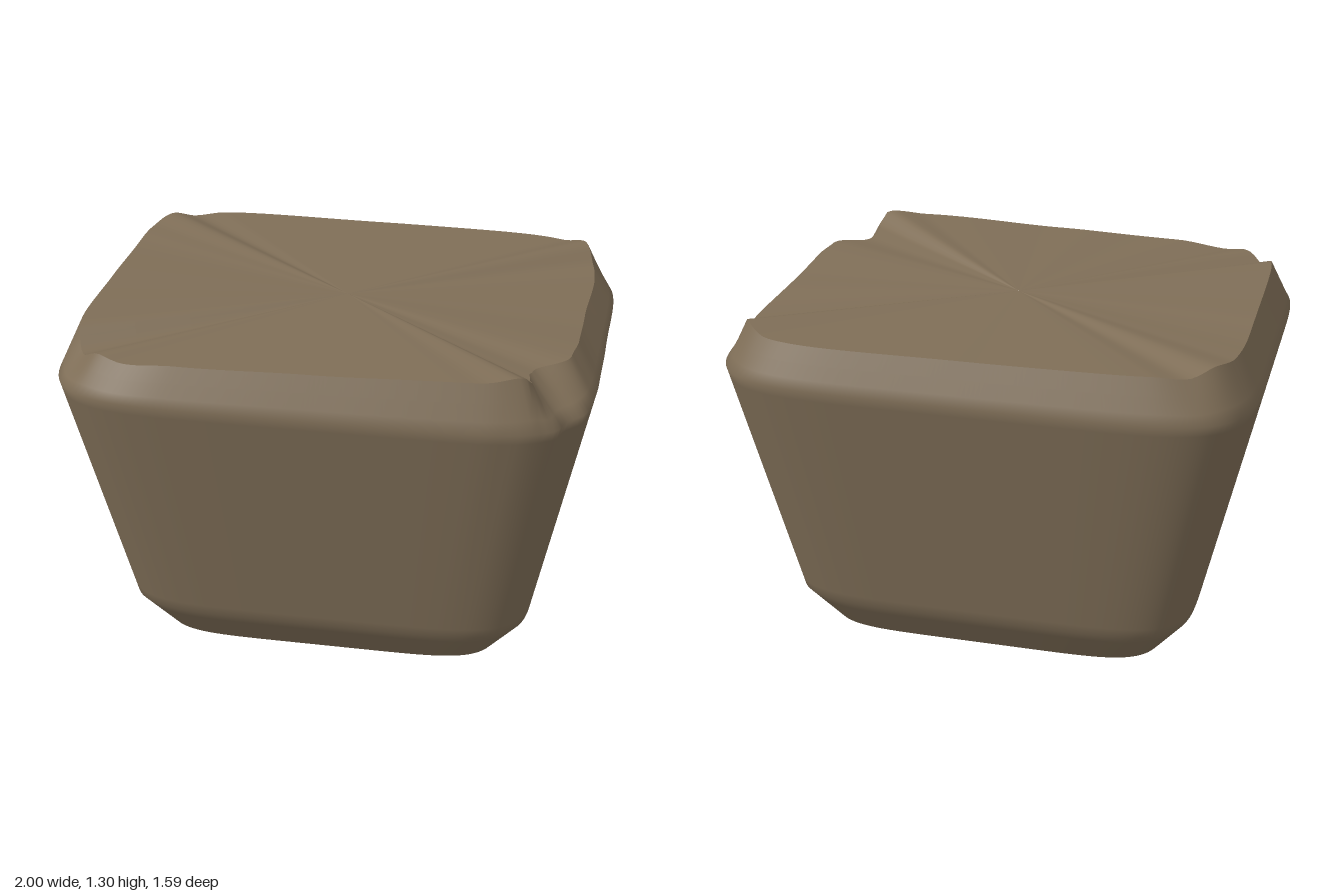
import * as THREE from 'three';

const SEG = 288;

// Rim height by angle (degrees from +x towards +z): ridges and dips at the four corners
const rimHeight = [[0, 1.235], [24, 1.25], [32, 1.24], [39, 1.25], [43.5, 1.3], [51, 1.285], [90, 1.27],
  [124, 1.26], [134, 1.245], [139, 1.26], [145, 1.22], [152, 1.29], [180, 1.28], [198, 1.272], [209, 1.28],
  [216, 1.295], [222, 1.265], [228, 1.275], [270, 1.27], [318, 1.265], [325, 1.295], [331, 1.235],
  [336, 1.225], [360, 1.235]];

// Radius factors that cut the chipped corner into the rim and the shoulder
const rimChip = [[0, 0.98], [15, 0.975], [23.5, 0.96], [33, 0.86], [36, 0.872], [38, 0.9], [40, 0.957],
  [43, 0.988], [49, 1], [334, 1], [360, 0.98]];
const shoulderChip = [[0, 0.988], [18, 0.982], [25, 0.978], [30, 0.975], [35.5, 0.953], [40, 0.985],
  [47, 0.995], [52, 1], [330, 1], [360, 0.988]];

// Smooth interpolation through [angle, value] pairs
function sample(table, deg) {
  const i = Math.max(1, table.findIndex(([a]) => a >= deg));
  const [a0, v0] = table[i - 1], [a1, v1] = table[i];
  return v0 + (v1 - v0) * THREE.MathUtils.smoothstep(deg, a0, a1);
}

// Point on a rounded rectangle with half sizes a and b
function outline(a, b, deg, y, factor = 1) {
  const t = THREE.MathUtils.degToRad(deg), c = Math.cos(t), s = Math.sin(t);
  const r = factor * Math.pow(Math.pow(Math.abs(c / a), 6) + Math.pow(Math.abs(s / b), 6), -1 / 6);
  return new THREE.Vector3(r * c, y, r * s);
}

// The four main sections, bottom to top
const sections = [
  (d) => outline(0.665, 0.525, d, 0),
  (d) => outline(0.78, 0.62, d, 0.155),
  (d) => outline(1, 0.793, d, 1.115, sample(shoulderChip, d)),
  (d) => outline(0.92, 0.735, d, sample(rimHeight, d), sample(rimChip, d)),
];

// Skin a surface through rings, each a function of the angle
function skin(rings) {
  const pos = [], idx = [];
  rings.forEach((ring, j) => {
    for (let i = 0; i < SEG; i++) {
      pos.push(...ring((i * 360) / SEG).toArray());
      if (j === 0) continue;
      const k = (i + 1) % SEG, lo = (j - 1) * SEG, hi = j * SEG;
      idx.push(lo + i, hi + i, lo + k, lo + k, hi + i, hi + k);
    }
  });
  const geo = new THREE.BufferGeometry();
  geo.setAttribute('position', new THREE.Float32BufferAttribute(pos, 3));
  geo.setIndex(idx);
  geo.computeVertexNormals();
  return geo;
}

export function createModel() {
  const group = new THREE.Group();
  group.name = 'taperedBlock';
  const brown = new THREE.MeshStandardMaterial({ color: 0x7f6e57 });
  brown.name = 'earth brown';
  const add = (geo, name) => {
    const mesh = new THREE.Mesh(geo, brown);
    mesh.name = name;
    group.add(mesh);
  };

  // Sides: extra rings beside each bend keep its soft edge narrow
  const between = (j, t) => (d) => sections[j](d).lerp(sections[j + 1](d), t);
  add(skin([
    sections[0], between(0, 0.75), sections[1],
    ...[0.04, 0.2, 0.4, 0.6, 0.8, 0.96].map((t) => between(1, t)),
    sections[2], between(2, 0.25), between(2, 0.6), sections[3],
  ]), 'sides');

  // Top: creases run from the uneven rim to the middle
  const middle = new THREE.Vector3(0, 1.262, 0);
  add(skin([1, 0.8, 0.6, 0.4, 0.2, 0.08, 0.001].map((t) => (d) => middle.clone().lerp(sections[3](d), t))), 'top');

  // Flat underside
  add(skin([0.001, 1].map((t) => (d) => sections[0](d).multiplyScalar(t))), 'underside');

  return group;
}
